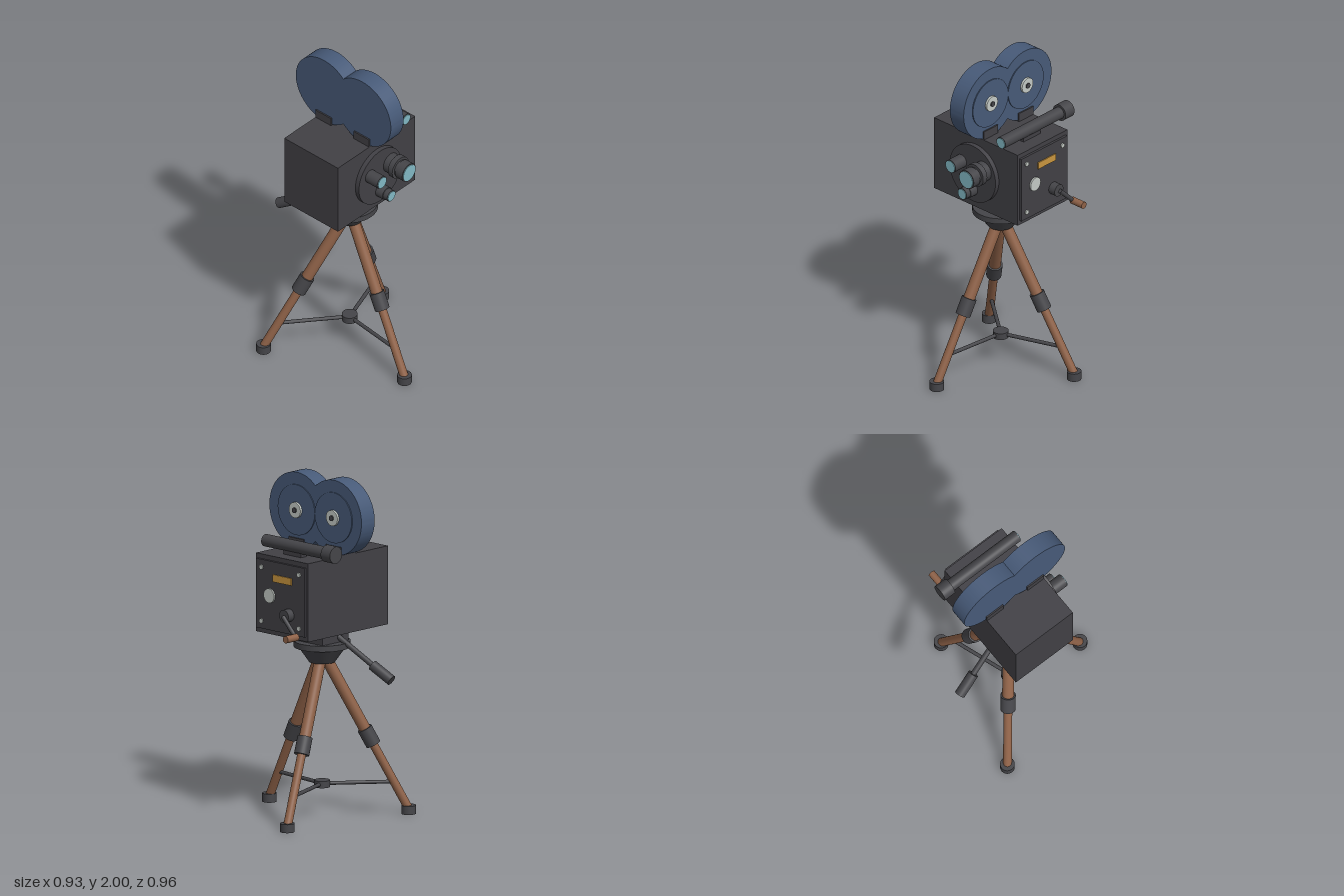
import * as THREE from 'three';
import { toCreasedNormals } from 'three/addons/utils/BufferGeometryUtils.js';

const V = (x, y, z) => new THREE.Vector3(x, y, z);
const mat = (name, color) => {
  const m = new THREE.MeshStandardMaterial({ color });
  m.name = name;
  return m;
};

export function createModel() {
  const charcoal = mat('charcoal body', 0x414045);
  const metal = mat('dark metal', 0x454549);
  const wood = mat('brown wood', 0x8f6248);
  const blue = mat('slate blue', 0x475a78);
  const glass = mat('pale blue glass', 0x82b9c4);
  const silver = mat('silver', 0xc4cac5);
  const brass = mat('brass plate', 0xc9963f);

  const model = new THREE.Group();
  model.name = 'filmCameraOnTripod';

  const add = (parent, name, geometry, material) => {
    const mesh = new THREE.Mesh(geometry, material);
    mesh.name = name;
    parent.add(mesh);
    return mesh;
  };
  const box = (parent, name, material, size, pos) => {
    const mesh = add(parent, name, new THREE.BoxGeometry(...size), material);
    mesh.position.set(...pos);
    return mesh;
  };
  // Cylinder from point a to point b
  const rod = (parent, name, material, a, b, ra, rb = ra, sides = 32) => {
    const dir = b.clone().sub(a);
    const mesh = add(parent, name, new THREE.CylinderGeometry(rb, ra, dir.length(), sides), material);
    mesh.position.copy(a).add(b).multiplyScalar(0.5);
    mesh.quaternion.setFromUnitVectors(V(0, 1, 0), dir.normalize());
    return mesh;
  };

  const cx = 0.0125, cz = -0.04;

  // Tripod legs with collars, feet and spreader
  const tripod = new THREE.Group();
  tripod.name = 'tripod';
  model.add(tripod);
  const apex = V(cx, 0.94, cz);
  const hub = V(cx, 0.19, cz);
  for (const [x, z] of [[-0.422, -0.284], [0.416, -0.262], [0.04, 0.438]]) {
    const foot = V(x, 0.03, z);
    const top = apex.clone().add(V(x - cx, 0, z - cz).multiplyScalar(0.03));
    const at = (y) => foot.clone().lerp(top, (y - foot.y) / (top.y - foot.y));
    rod(tripod, 'upperLeg', wood, at(0.45), top, 0.034);
    rod(tripod, 'lowerLeg', wood, foot, at(0.45), 0.025);
    rod(tripod, 'legCollar', metal, at(0.413), at(0.507), 0.044);
    rod(tripod, 'foot', metal, V(x, 0, z), V(x, 0.05, z), 0.042);
    rod(tripod, 'spreaderArm', metal, hub, at(0.19), 0.011, 0.011, 12);
  }
  rod(tripod, 'spreaderHub', metal, V(cx, 0.17, cz), V(cx, 0.21, cz), 0.045);

  // Tripod head with pan handle
  rod(tripod, 'headCone', metal, V(cx, 0.905, cz), V(cx, 0.995, cz), 0.075, 0.138, 48);
  rod(tripod, 'headPlate', metal, V(cx, 0.995, cz), V(cx, 1.03, cz), 0.163, 0.163, 48);
  const grip = V(-0.125, 0.92, -0.345);
  rod(tripod, 'panHandleRod', metal, V(-0.03, 1.07, -0.12), grip, 0.016, 0.016, 16);
  rod(tripod, 'panHandleGrip', metal, grip, V(-0.175, 0.845, -0.46), 0.031);

  // Camera head, turned slightly on the tripod
  const cam = new THREE.Group();
  cam.name = 'cameraHead';
  cam.position.set(cx, 0, cz);
  cam.rotation.y = THREE.MathUtils.degToRad(10);
  model.add(cam);
  box(cam, 'mountBlock', charcoal, [0.215, 0.075, 0.215], [0, 1.066, 0]);
  box(cam, 'body', charcoal, [0.655, 0.46, 0.416], [0, 1.333, 0]);

  // Lens turret: three lenses at equal angles
  rod(cam, 'turret', charcoal, V(0, 1.333, 0.2), V(0, 1.333, 0.236), 0.18, 0.18, 64);
  const lenses = [
    [30, [[0.236, 0.28, 0.06], [0.28, 0.314, 0.07], [0.314, 0.326, 0.052], [0.326, 0.38, 0.058]]],
    [150, [[0.236, 0.328, 0.04]]],
    [270, [[0.236, 0.29, 0.04], [0.29, 0.322, 0.035]]],
  ];
  for (const [angle, steps] of lenses) {
    const t = THREE.MathUtils.degToRad(angle);
    const x = 0.1 * Math.cos(t), y = 1.333 + 0.1 * Math.sin(t);
    for (const [z0, z1, r] of steps) rod(cam, 'lensBarrel', metal, V(x, y, z0), V(x, y, z1), r);
    const [, end, r] = steps[steps.length - 1];
    rod(cam, 'lensGlass', glass, V(x, y, end - 0.002), V(x, y, end + 0.004), r * 0.88);
  }

  // Twin film magazine: one outline of two overlapping discs
  const half = 0.148, R = 0.22, phi = Math.acos(half / R), magY = 1.78;
  const outline = new THREE.Shape();
  outline.absarc(half, 0, R, phi - Math.PI, Math.PI - phi);
  outline.absarc(-half, 0, R, phi, 2 * Math.PI - phi);
  const magGeo = new THREE.ExtrudeGeometry(outline, { depth: 0.108, bevelEnabled: false, curveSegments: 56 });
  magGeo.translate(0, 0, -0.054).rotateY(Math.PI / 2);
  add(cam, 'filmMagazine', toCreasedNormals(magGeo, 0.5), blue).position.y = magY;
  for (const z of [-half, half]) {
    rod(cam, 'magazineCover', blue, V(0.05, magY, z), V(0.06, magY, z), 0.148, 0.148, 64);
    rod(cam, 'reelHub', silver, V(0.055, magY, z), V(0.073, magY, z), 0.046);
    rod(cam, 'reelSpindle', metal, V(0.07, magY, z), V(0.08, magY, z), 0.016);
    box(cam, 'magazineFoot', charcoal, [0.125, 0.06, 0.12], [0, 1.585, z]);
  }

  // Viewfinder on top
  const fx = 0.222, fy = 1.615;
  rod(cam, 'viewfinderTube', metal, V(fx, fy, -0.27), V(fx, fy, 0.235), 0.036);
  rod(cam, 'eyepiece', metal, V(fx, fy, -0.328), V(fx, fy, -0.254), 0.05);
  rod(cam, 'viewfinderGlass', glass, V(fx, fy, 0.233), V(fx, fy, 0.239), 0.031);
  box(cam, 'viewfinderMount', charcoal, [0.045, 0.04, 0.14], [fx, 1.575, 0]);

  // Side door with screws, dial and plate
  box(cam, 'sideDoor', charcoal, [0.02, 0.405, 0.385], [0.332, 1.333, 0]);
  for (const y of [1.175, 1.49])
    for (const z of [-0.15, 0.15])
      rod(cam, 'doorScrew', silver, V(0.34, y, z), V(0.349, y, z), 0.014, 0.014, 16);
  rod(cam, 'dial', silver, V(0.34, 1.333, 0.083), V(0.352, 1.333, 0.083), 0.042);
  box(cam, 'namePlate', brass, [0.008, 0.042, 0.15], [0.344, 1.44, -0.018]);

  // Hand crank
  const crankEnd = V(0.4, 1.138, -0.18);
  rod(cam, 'crankHub', metal, V(0.34, 1.243, -0.073), V(0.388, 1.243, -0.073), 0.037);
  rod(cam, 'crankArm', metal, V(0.395, 1.243, -0.073), crankEnd, 0.013, 0.013, 16);
  rod(cam, 'crankKnob', wood, V(0.392, 1.138, -0.18), V(0.484, 1.138, -0.18), 0.021, 0.021, 24);

  return model;
}
